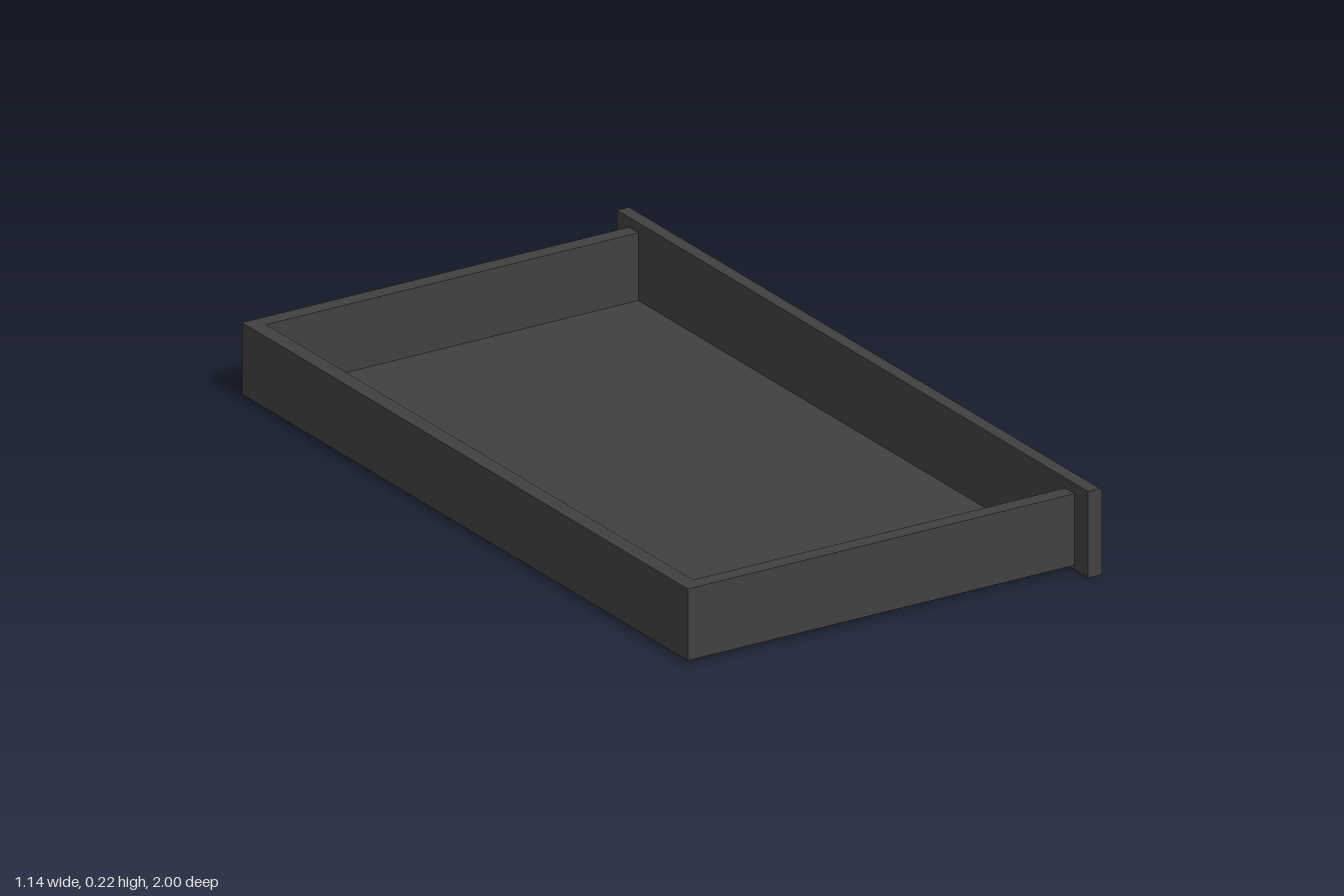
import * as THREE from 'three';

const material = new THREE.MeshStandardMaterial({ color: 0x404040 });

export function createModel() {
  const drawer = new THREE.Group();
  drawer.name = 'drawer';

  const add = (name, geometry) => {
    const mesh = new THREE.Mesh(geometry, material);
    mesh.name = name;
    drawer.add(mesh);
    return mesh;
  };

  // Box given by its lower and upper limits on each axis
  const addBox = (name, [x0, x1], [y0, y1], [z0, z1]) =>
    add(name, new THREE.BoxGeometry(x1 - x0, y1 - y0, z1 - z0))
      .position.set((x0 + x1) / 2, (y0 + y1) / 2, (z0 + z1) / 2);

  // Tray: three walls and a thin floor, closed by the front panel
  const wall = 0.04, back = -0.57, front = 0.485, left = 0.943, right = -0.95;
  const height = [0.012, 0.19];
  addBox('leftSide', [back, front], height, [left - wall, left]);
  addBox('rightSide', [back, front], height, [right, right + wall]);
  addBox('backWall', [back, back + wall], height, [right + wall, left - wall]);
  addBox('floor', [back + wall, front], [0.014, 0.022], [right + wall, left - wall]);

  // Front panel with eased outer edges, extruded along its length
  const outer = 0.523, top = 0.215, ease = 0.009;
  const profile = new THREE.Shape();
  profile.moveTo(front, 0);
  profile.lineTo(outer - ease, 0);
  profile.quadraticCurveTo(outer, 0, outer, ease);
  profile.lineTo(outer, top - ease);
  profile.quadraticCurveTo(outer, top, outer - ease, top);
  profile.lineTo(front, top);
  profile.closePath();
  add('frontPanel', new THREE.ExtrudeGeometry(profile, { depth: 2, bevelEnabled: false, curveSegments: 4 }))
    .position.z = -1;

  // Knobs: flared foot, narrow neck and a round disc head
  const knobProfile = [
    [0.03, 0], [0.029, 0.004], [0.02, 0.012], [0.014, 0.019], [0.013, 0.025],
    [0.018, 0.03], [0.033, 0.033], [0.037, 0.036], [0.037, 0.041],
    [0.032, 0.045], [0, 0.047],
  ].map(([r, h]) => new THREE.Vector2(r, h));
  const knobGeometry = new THREE.LatheGeometry(knobProfile, 24);
  for (const [name, z] of [['leftKnob', 0.62], ['rightKnob', -0.635]]) {
    const knob = add(name, knobGeometry);
    knob.rotation.z = -Math.PI / 2;
    knob.position.set(outer, 0.108, z);
  }

  return drawer;
}
